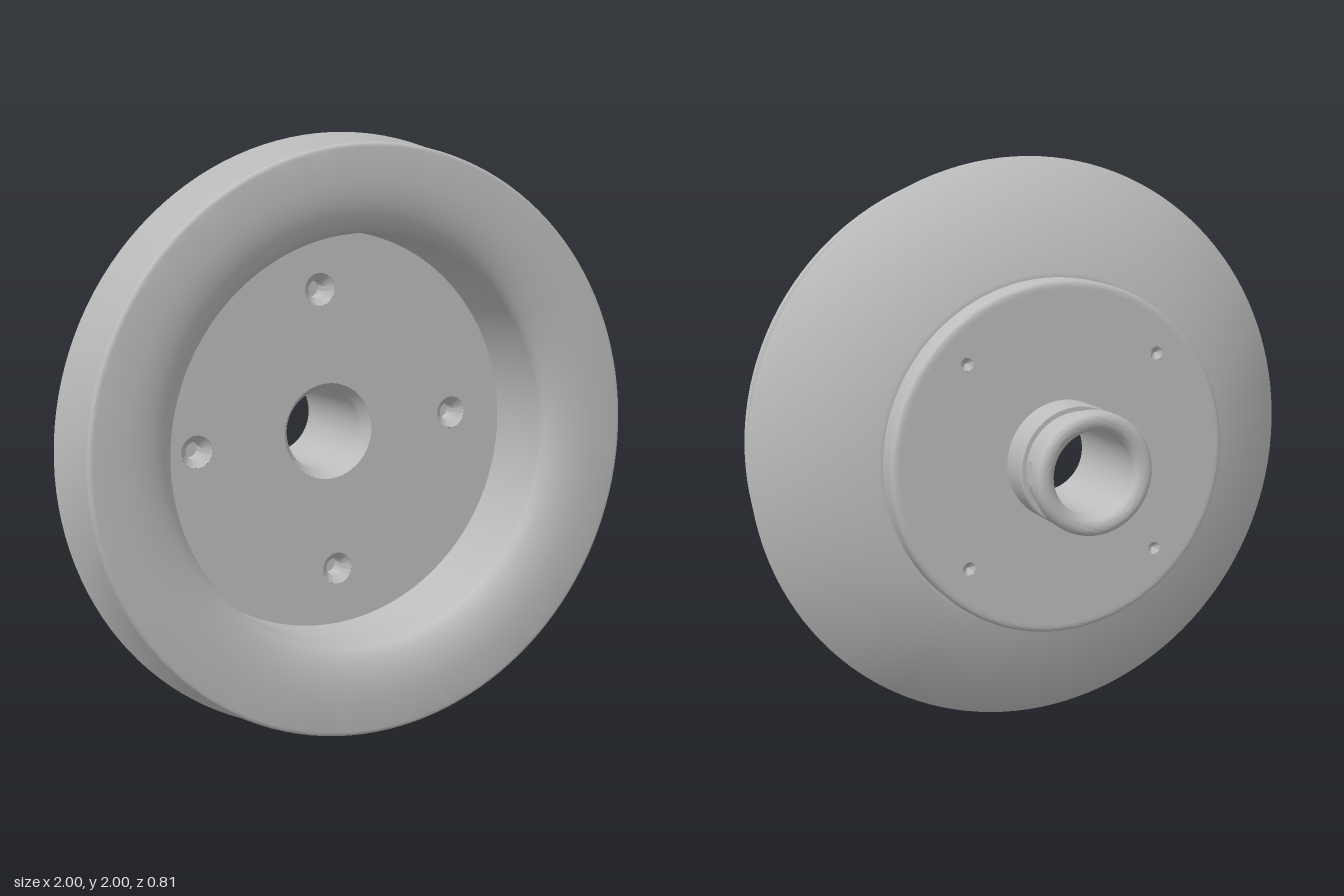
import * as THREE from 'three';
import { toCreasedNormals } from 'three/addons/utils/BufferGeometryUtils.js';

const metal = new THREE.MeshStandardMaterial({ color: 0xbdbdbd });
metal.name = 'grey metal';
const PI = Math.PI;

function part(name, geometry) {
  const mesh = new THREE.Mesh(geometry, metal);
  mesh.name = name;
  return mesh;
}

// Turn a [radius, z] profile around the z axis
function turned(name, profile, segments = 128, crease = 0.55) {
  const points = profile.map(([r, z]) => new THREE.Vector2(r, z));
  const geometry = new THREE.LatheGeometry(points, segments);
  geometry.rotateX(PI / 2);
  return part(name, toCreasedNormals(geometry, crease));
}

// Points along an arc in the profile plane
function arc(cr, cz, rr, rz, from, to, steps = 6) {
  return Array.from({ length: steps + 1 }, (_, i) => {
    const a = from + ((to - from) * i) / steps;
    return [cr + rr * Math.cos(a), cz + rz * Math.sin(a)];
  });
}

// Four points evenly spaced on the bolt circle
function boltCircle(offset) {
  return [0, 1, 2, 3].map((i) => {
    const a = offset + (i * PI) / 2;
    return [0.485 * Math.cos(a), 0.485 * Math.sin(a)];
  });
}

// Flat ring with four bolt holes, facing +z
function drilledRing(outer, inner, holeRadius, centres) {
  const shape = new THREE.Shape().absarc(0, 0, outer, 0, 2 * PI);
  for (const [x, y, r] of [[0, 0, inner], ...centres.map((c) => [...c, holeRadius])]) {
    shape.holes.push(new THREE.Path().absarc(x, y, r, 0, 2 * PI, true));
  }
  return new THREE.ShapeGeometry(shape, 64);
}

export function createModel() {
  const model = new THREE.Group();
  model.name = 'pulley';
  const body = new THREE.Group();
  body.name = 'pulleyBody';
  body.position.y = 1;
  model.add(body);
  const webZ = 0.06;
  const backZ = -0.145;

  // Back flange and outer cone
  body.add(turned('backFlangeAndCone', [
    [0.575, backZ],
    ...arc(0.585, -0.125, 0.02, 0.02, -PI / 2, 0, 4),
    [0.605, -0.05], [0.62, -0.05],
    [0.995, 0.168], [1, 0.175],
  ]));

  // V groove with soft shading at its root
  body.add(turned('beltGroove', [[1, 0.175], [0.86, 0.32], [0.96, 0.378]], 128, PI));

  // Rounded front lip
  body.add(turned('frontLip', [
    [0.96, 0.378],
    ...arc(0.95, 0.387, 0.015, 0.015, 0, PI / 2, 4),
    [0.85, 0.402],
    ...arc(0.85, 0.325, 0.17, 0.077, PI / 2, PI, 12),
  ]));

  // Inner wall of the front recess
  body.add(turned('recessWall', [[0.68, 0.325], [0.68, webZ]]));

  // Front web with countersunk holes
  const frontBolts = boltCircle(0.07);
  const web = part('frontWeb', drilledRing(0.68, 0.165, 0.055, frontBolts));
  web.position.z = webZ;
  body.add(web);
  for (const [x, y] of frontBolts) {
    const hole = turned('countersunkHole', [[0.055, 0], [0.03, -0.025], [0.03, -0.08], [0, -0.08]], 32);
    hole.position.set(x, y, webZ);
    body.add(hole);
  }

  // Back plate with small conical dimples, halfway between the front holes
  const backBolts = boltCircle(PI / 4);
  const plate = part('backPlate', drilledRing(0.576, 0.2, 0.022, backBolts));
  plate.rotation.y = PI;
  plate.position.z = backZ;
  body.add(plate);
  for (const [x, y] of backBolts) {
    const dimple = turned('backDimple', [[0, 0.02], [0.022, 0]], 20);
    dimple.position.set(x, y, backZ);
    body.add(dimple);
  }

  // Hub: collar, retaining groove, rounded end and flared bore
  body.add(turned('hub', [
    [0.165, webZ], [0.14, 0.02], [0.14, -0.375],
    ...arc(0.175, -0.375, 0.035, 0.035, PI, 1.5 * PI, 6),
    ...arc(0.18, -0.385, 0.025, 0.025, 1.5 * PI, 2 * PI, 5),
    [0.205, -0.35], [0.2, -0.345], [0.185, -0.345],
    [0.185, -0.262], [0.2, -0.262], [0.205, -0.257], [0.205, backZ],
  ], 72));

  // Plugs set in the hub groove
  for (let i = 0; i < 4; i++) {
    const a = (i * PI) / 2;
    const plug = part('hubPlug', new THREE.CylinderGeometry(0.04, 0.04, 0.04, 24));
    plug.position.set(-0.166 * Math.sin(a), 0.166 * Math.cos(a), -0.303);
    plug.rotation.z = a;
    body.add(plug);
  }

  return model;
}
